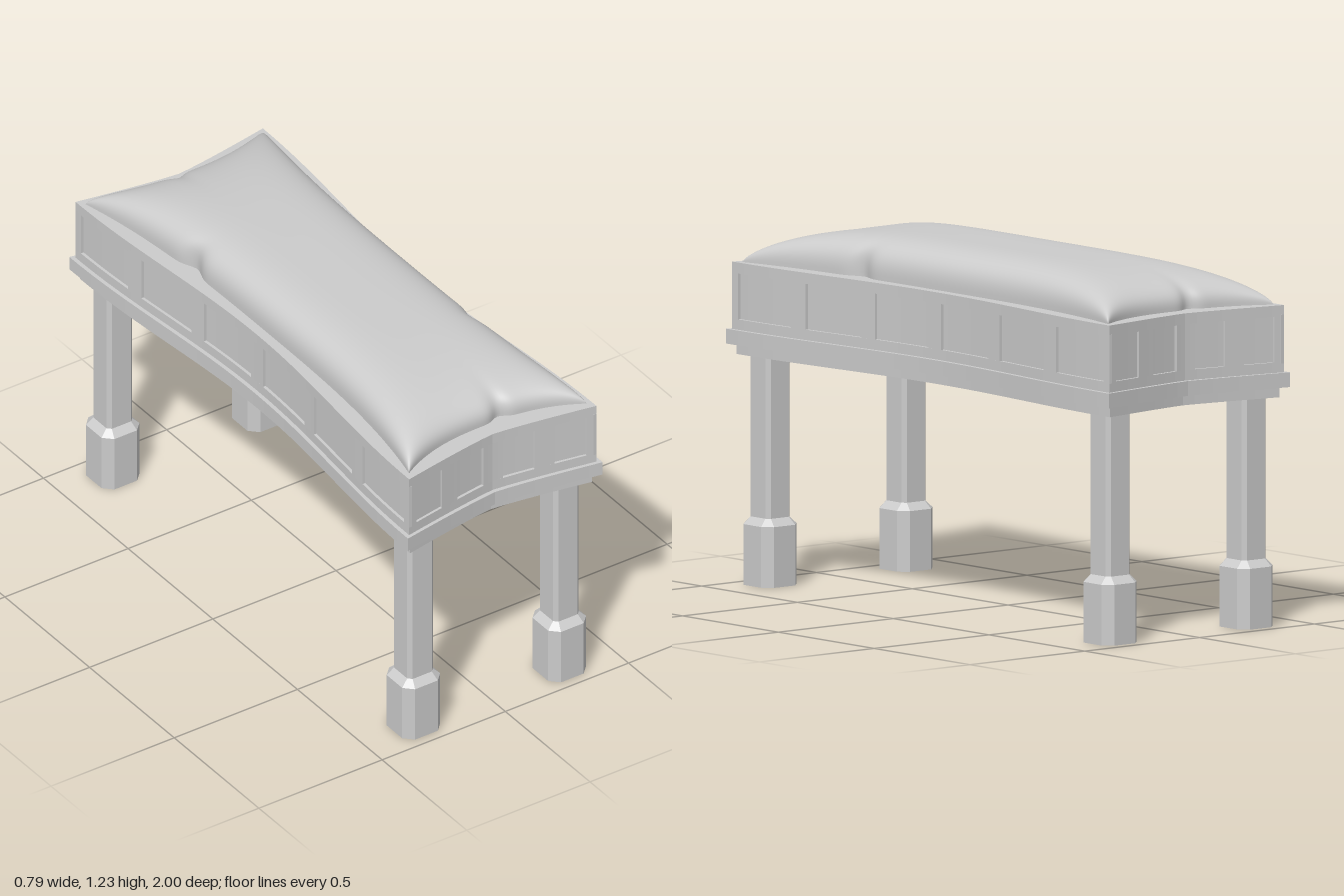
import * as THREE from 'three';

const W = 0.395, D = 1.0; // half width and half depth at the ledge corners
const material = new THREE.MeshStandardMaterial({ color: 0xcccccc });
const openMaterial = new THREE.MeshStandardMaterial({ color: 0xcccccc, flatShading: true, side: THREE.DoubleSide });

// Pinched plan: the long sides curve in, the ends form a shallow V
const sideX = (inset, z) => W - inset - 0.03 * (1 + Math.cos(Math.PI * Math.min(1, Math.abs(z) / (D - inset))));
const endZ = (inset, x) => D - inset - 0.06 * (1 - Math.pow(Math.min(1, Math.abs(x) / (W - inset)), 1.2));

function outline(inset) {
  const pts = [], w = W - inset, d = D - inset, n = 32, m = 16;
  for (let i = 0; i < n; i++) { const z = d - 2 * d * i / n; pts.push([sideX(inset, z), z]); }
  for (let i = 0; i < m; i++) { const x = w - 2 * w * i / m; pts.push([x, -endZ(inset, x)]); }
  return pts.concat(pts.map(([x, z]) => [-x, -z]));
}

// Extrude a plan polygon of [x, z] points from y0 up to y1
function slab(name, pts, y0, y1) {
  const shape = new THREE.Shape(pts.map(([x, z]) => new THREE.Vector2(x, -z)));
  const geo = new THREE.ExtrudeGeometry(shape, { depth: y1 - y0, bevelEnabled: false });
  geo.rotateX(-Math.PI / 2).translate(0, y0, 0);
  const mesh = new THREE.Mesh(geo, material);
  mesh.name = name;
  return mesh;
}

// Upright strip between recessed panels; place(inset, t) gives a plan point
function stile(place, a, b) {
  const front = [], back = [], n = 4;
  for (let i = 0; i <= n; i++) {
    const t = a + (b - a) * i / n;
    front.push(place(0.015, t));
    back.unshift(place(0.027, t));
  }
  return slab('stile', front.concat(back), 0.89, 1.055);
}

function createFrame() {
  const g = new THREE.Group();
  g.name = 'frame';
  g.add(slab('lowerMoulding', outline(0.026), 0.775, 0.81));
  g.add(slab('ledge', outline(0), 0.81, 0.86));
  g.add(slab('panelBacking', outline(0.026), 0.86, 1.08));
  g.add(slab('bottomRail', outline(0.015), 0.86, 0.895));
  g.add(slab('topRail', outline(0.015), 1.05, 1.087));

  const sideStiles = [[-0.985, -0.954], [-0.692, -0.623], [-0.361, -0.297], [-0.035, 0.035],
    [0.297, 0.361], [0.623, 0.692], [0.954, 0.985]];
  const endStiles = [[-0.38, -0.345], [-0.228, -0.157], [-0.04, 0.04], [0.157, 0.228], [0.345, 0.38]];
  for (const s of [-1, 1]) {
    for (const [a, b] of sideStiles) g.add(stile((i, z) => [s * sideX(i, z), z], a, b));
    for (const [a, b] of endStiles) g.add(stile((i, x) => [x, s * endZ(i, x)], a, b));
  }
  return g;
}

// Chamfered square leg lofted through rings of [y, half width, half flat]
function legGeometry() {
  const rings = [[0, 0.077, 0.046], [0.205, 0.077, 0.046], [0.23, 0.052, 0.039], [0.79, 0.052, 0.039]];
  const pos = [], index = [];
  for (const [y, h, f] of rings) {
    const ring = [[h, -f], [h, f], [f, h], [-f, h], [-h, f], [-h, -f], [-f, -h], [f, -h]];
    for (const [x, z] of ring) pos.push(x, y, z);
  }
  for (let r = 0; r < rings.length - 1; r++) {
    for (let i = 0; i < 8; i++) {
      const a = r * 8 + i, b = r * 8 + (i + 1) % 8;
      index.push(a, a + 8, b, b, a + 8, b + 8);
    }
  }
  const geo = new THREE.BufferGeometry();
  geo.setAttribute('position', new THREE.Float32BufferAttribute(pos, 3));
  geo.setIndex(index);
  const flat = geo.toNonIndexed();
  flat.computeVertexNormals();
  return flat;
}

// Puffed cushion with pulled-out corners and one pinch in each edge
function createCushion() {
  const geo = new THREE.PlaneGeometry(2, 2, 96, 160).rotateX(-Math.PI / 2);
  const p = geo.attributes.position;
  const ease = t => Math.sin(t * Math.PI / 2);
  const puff = t => Math.pow(Math.max(0, 1 - Math.pow(Math.abs(t), 4)), 0.35);
  const pinch = (t, centre, width, edge) =>
    Math.exp(-(((t - centre) / width) ** 2)) * Math.pow(Math.max(0, edge), 8);
  for (let i = 0; i < p.count; i++) {
    const u = ease(p.getX(i)), v = ease(p.getZ(i));
    const su = Math.sign(u), sv = Math.sign(v);
    const sideDent = pinch(v * su, 0.45, 0.05, Math.abs(u));
    const endDent = pinch(u * sv, 0.2, 0.09, Math.abs(v));
    const x = u * (0.285 + 0.075 * Math.abs(v) ** 3) - su * 0.025 * sideDent;
    const z = v * (0.868 + 0.087 * Math.abs(u) ** 2.5) - sv * 0.02 * endDent;
    p.setXYZ(i, x, 1.087 + 0.138 * puff(u) * puff(v), z);
  }
  geo.computeVertexNormals();
  const mesh = new THREE.Mesh(geo, new THREE.MeshStandardMaterial({ color: 0xcccccc, side: THREE.DoubleSide }));
  mesh.name = 'cushion';
  return mesh;
}

export function createModel() {
  const model = new THREE.Group();
  model.name = 'bench';
  model.add(createFrame(), createCushion());

  const geo = legGeometry();
  for (const sx of [-1, 1]) {
    for (const sz of [-1, 1]) {
      const leg = new THREE.Mesh(geo, openMaterial);
      leg.name = (sz > 0 ? 'front' : 'back') + (sx > 0 ? 'Left' : 'Right') + 'Leg';
      leg.position.set(sx * 0.296, 0, sz * 0.888);
      model.add(leg);
    }
  }
  return model;
}
